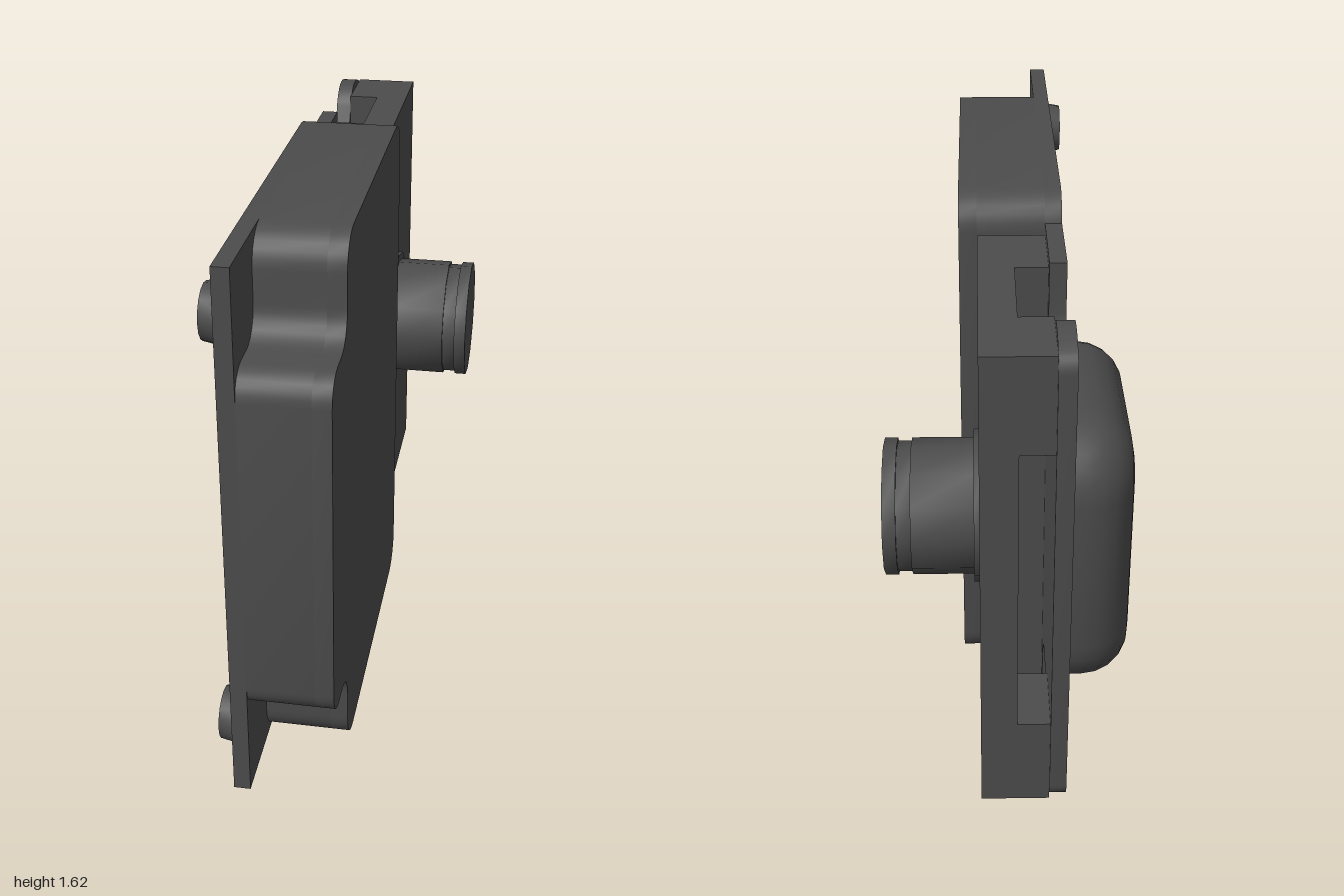
import * as THREE from 'three';
import { toCreasedNormals } from 'three/addons/utils/BufferGeometryUtils.js';

const material = new THREE.MeshStandardMaterial({ color: 0x4c4c4c });
const HEIGHT = 1.617;
const MID = HEIGHT / 2;

// Closed outline with rounded corners; each corner is [z, y, radius].
function roundedOutline(corners, target = new THREE.Shape()) {
  const pts = corners.map(([z, y]) => new THREE.Vector2(z, y));
  const n = pts.length;
  pts.forEach((p, i) => {
    const r = corners[i][2];
    const toward = (q) => q.clone().sub(p).setLength(r).add(p);
    const a = toward(pts[(i + n - 1) % n]);
    const b = toward(pts[(i + 1) % n]);
    if (i === 0) target.moveTo(a.x, a.y);
    else target.lineTo(a.x, a.y);
    if (r > 0) {
      // Cubic approximation of a circular fillet
      const c1 = a.clone().lerp(p, 0.55);
      const c2 = b.clone().lerp(p, 0.55);
      target.bezierCurveTo(c1.x, c1.y, c2.x, c2.y, b.x, b.y);
    }
  });
  target.closePath();
  return target;
}

// Adds the top half of an outline as the mirror of its bottom half.
function mirrored(lower) {
  return [...lower, ...lower.map(([z, y, r]) => [z, HEIGHT - y, r]).reverse()];
}

// Extrudes a (z, y) shape along x between x0 and x1.
function slabGeometry(shape, x0, x1, options = {}) {
  const geometry = new THREE.ExtrudeGeometry(shape, {
    depth: x1 - x0, bevelEnabled: false, curveSegments: 6, ...options,
  });
  return geometry.rotateY(-Math.PI / 2).translate(x1, 0, 0);
}

function addMesh(parent, name, geometry) {
  const mesh = new THREE.Mesh(toCreasedNormals(geometry, 0.6), material);
  mesh.name = name;
  parent.add(mesh);
}

function addBox(parent, name, [x0, x1], [y0, y1], [z0, z1]) {
  const geometry = new THREE.BoxGeometry(x1 - x0, y1 - y0, z1 - z0);
  geometry.translate((x0 + x1) / 2, (y0 + y1) / 2, (z0 + z1) / 2);
  addMesh(parent, name, geometry);
}

// Outer tray outline with stepped, filleted front corners
const trayOutline = mirrored([
  [-0.24, 0, 0.1], [0.77, 0, 0.1], [0.77, 0.283, 0.09], [1, 0.283, 0.08],
]);

// Inner tray outline: only the corner pillars are rounded
const cavityOutline = mirrored([
  [-0.195, 0.045, 0], [0.725, 0.045, 0], [0.725, 0.328, 0.1], [0.955, 0.328, 0],
]);

export function createModel() {
  const model = new THREE.Group();
  model.name = 'coverAssembly';

  // Hollow tray: floor, walls and rim flange, open toward -x
  const tray = new THREE.Group();
  tray.name = 'tray';
  model.add(tray);
  const cavity = roundedOutline(cavityOutline, new THREE.Path());
  addMesh(tray, 'trayFloor', slabGeometry(roundedOutline(trayOutline), 0.07, 0.122));
  const walls = roundedOutline(trayOutline);
  walls.holes.push(cavity);
  addMesh(tray, 'trayWalls', slabGeometry(walls, -0.122, 0.07));
  const flange = roundedOutline(mirrored([[-0.24, 0, 0.1], [1, 0, 0]]));
  flange.holes.push(cavity);
  addMesh(tray, 'rimFlange', slabGeometry(flange, -0.17, -0.122));

  // Tapered studs on the flange corners
  for (const y of [0.172, HEIGHT - 0.172]) {
    const stud = new THREE.CylinderGeometry(0.076, 0.085, 0.05, 16);
    stud.rotateZ(Math.PI / 2).translate(-0.195, y, 0.88);
    addMesh(tray, 'cornerStud', stud);
  }

  // Latch plate with rounded ears and U-shaped notches
  const latch = new THREE.Group();
  latch.name = 'latch';
  model.add(latch);
  addMesh(latch, 'latchPlate', slabGeometry(roundedOutline(mirrored([
    [-1, 0.12, 0.03],
    [-0.955, 0.09, 0.025],
    [-0.88, 0.07, 0.04],
    [-0.8, 0.09, 0.05],
    [-0.71, 0.31, 0.1],
    [-0.51, 0.31, 0.09],
    [-0.51, 0.075, 0],
    [-0.195, 0.075, 0],
  ])), -0.17, -0.122));

  // Latch block: front slab, two ribs and a through channel between them
  const blockY = [0.1, HEIGHT - 0.1];
  addBox(latch, 'blockSlab', [-0.03, 0.07], blockY, [-0.995, -0.26]);
  addBox(latch, 'innerRib', [-0.122, -0.03], blockY, [-0.48, -0.26]);
  // The outer rib is split by a long slot in the back face
  addBox(latch, 'outerRibLower', [-0.122, -0.03], [0.1, 0.375], [-0.995, -0.78]);
  addBox(latch, 'outerRibUpper', [-0.122, -0.03], [HEIGHT - 0.375, HEIGHT - 0.1], [-0.995, -0.78]);

  // Soft pillow pad; its rear half is flattened into the plate
  const padShape = roundedOutline(mirrored([[-0.925, 0.392, 0.19], [-0.195, 0.392, 0.19]]));
  const pad = slabGeometry(padShape, -0.21, -0.165, {
    bevelEnabled: true, bevelSize: 0.125, bevelOffset: -0.125,
    bevelThickness: 0.133, bevelSegments: 5,
  });
  const position = pad.attributes.position;
  for (let i = 0; i < position.count; i++) {
    position.setX(i, Math.min(position.getX(i), -0.165));
  }
  addMesh(latch, 'pillowPad', pad);

  // Knob: collar, shaft, groove and cap as one turned profile
  const profile = [
    [0, 0.06], [0.219, 0.06], [0.219, 0.085], [0.196, 0.085], [0.196, 0.26],
    [0.187, 0.26], [0.187, 0.3], [0.196, 0.3], [0.196, 0.338], [0, 0.338],
  ].map(([r, x]) => new THREE.Vector2(r, x));
  const knob = new THREE.LatheGeometry(profile, 12);
  knob.rotateZ(-Math.PI / 2).translate(0, MID, -0.555);
  addMesh(latch, 'knob', knob);

  return model;
}
